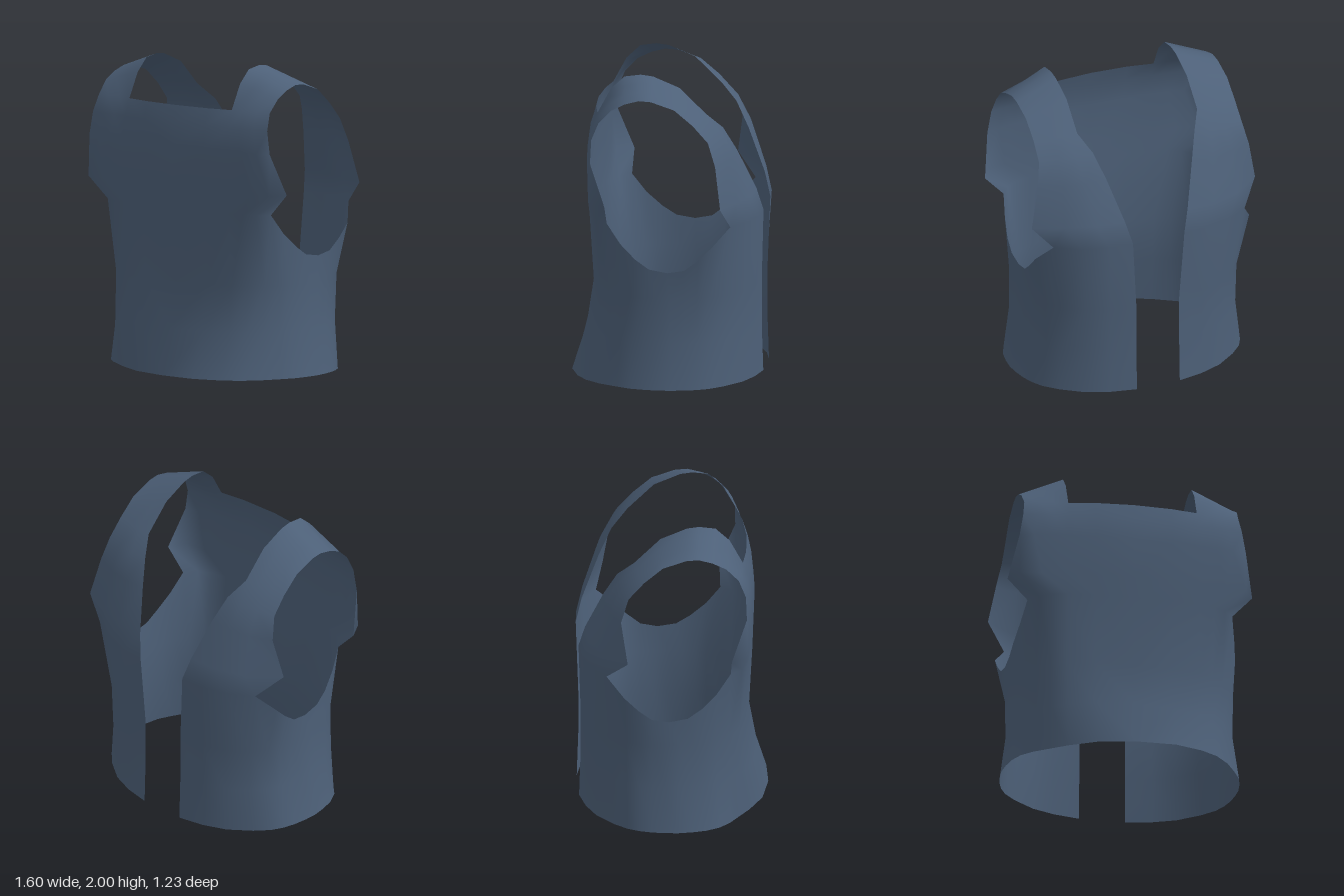
import * as THREE from 'three';

// Cross-sections of the left half, from front centre round the side to the back opening: [x, z] per height
const bodyLevels = [
  [0, [[0, .615], [.25, .59], [.43, .515], [.54, .445], [.63, .365], [.7, .27],
    [.745, .18], [.765, .09], [.775, 0], [.77, -.08], [.755, -.17], [.73, -.25], [.69, -.325],
    [.61, -.41], [.47, -.515], [.32, -.575], [.15, -.61]]],
  [.3, [[0, .54], [.25, .52], [.43, .465], [.53, .41], [.61, .335], [.67, .25],
    [.7, .18], [.72, .09], [.735, 0], [.73, -.08], [.715, -.17], [.695, -.25], [.66, -.33],
    [.59, -.42], [.46, -.515], [.32, -.57], [.15, -.6]]],
  [.6, [[0, .485], [.25, .475], [.43, .445], [.53, .4], [.61, .33], [.67, .25],
    [.7, .18], [.72, .1], [.73, .01], [.73, -.07], [.72, -.17], [.7, -.25], [.67, -.33],
    [.6, -.425], [.47, -.52], [.32, -.575], [.15, -.6]]],
];
// Last body row follows the underside of the armhole: [x, y, z]
const armholeRow = [
  [0, 1.07, .505], [.25, 1.07, .5], [.43, 1.07, .48], [.53, 1.07, .455], [.61, 1.07, .415], [.67, 1.07, .34],
  [.7, .945, .25], [.725, .85, .15], [.735, .79, .06], [.74, .77, -.06], [.745, .79, -.17], [.75, .86, -.26], [.75, .95, -.35],
  [.67, 1.07, -.46], [.51, 1.07, -.56], [.34, 1.07, -.605], [.18, 1.07, -.615],
];
// Chest panel above the armhole notch
const chestRows = [
  armholeRow.slice(0, 6),
  [[0, .51], [.25, .505], [.44, .485], [.6, .47], [.74, .45], [.8, .34]].map(([x, z]) => [x, 1.21, z]),
  [[0, .52], [.25, .515], [.43, .495], [.54, .485], [.65, .465], [.74, .44]].map(([x, z]) => [x, 1.48, z]),
  [[0, .505], [.25, .495], [.425, .47], [.52, .465], [.62, .455], [.715, .435]].map(([x, z]) => [x, 1.63, z]),
  [[0, .475], [.25, .46], [.42, .43], [.51, .42], [.61, .41], [.7, .39]].map(([x, z]) => [x, 1.74, z]),
];
// Strap edges over the shoulder: inner point, outer point, backward bulge between them
const strapEdges = [
  [[.42, 1.9, .345], [.705, 1.825, .31], 0],
  [[.42, 1.985, .255], [.705, 1.87, .22], 0],
  [[.42, 2, .15], [.705, 1.895, .13], 0],
  [[.42, 1.99, .07], [.705, 1.89, .05], 0],
  [[.42, 1.92, -.1], [.705, 1.84, -.1], 0],
  [[.42, 1.755, -.27], [.705, 1.74, -.22], .01],
  [[.355, 1.65, -.375], [.71, 1.63, -.32], .02],
  [[.3, 1.49, -.46], [.74, 1.48, -.37], .04],
  [[.22, 1.22, -.575], [.8, 1.21, -.37], .06],
];

function strapRow([inner, outer, bulge]) {
  return [0, 1 / 3, 2 / 3, 1].map(t => inner.map((v, i) =>
    THREE.MathUtils.lerp(v, outer[i], t) - (i === 2 ? bulge * 4 * t * (1 - t) : 0)));
}

export function createModel() {
  const group = new THREE.Group();
  group.name = 'vest';
  const cloth = new THREE.MeshStandardMaterial({ color: 0x4d6078, side: THREE.DoubleSide });
  cloth.name = 'slate blue cloth';

  // Shared vertices keep the shading smooth across the panels
  const positions = [], lookup = new Map();
  const vertex = ([x, y, z], side) => {
    // The front hem flares more on the left, and the rear armhole tip sits further back there
    if (y === 0) z += .1 * x * side * THREE.MathUtils.smoothstep(z, .25, .5);
    if (y === 1.21 && z < 0) z -= .04 * side;
    const p = [x * side, y, z];
    const key = p.map(v => Math.round(v * 1e4)).join();
    if (!lookup.has(key)) {
      lookup.set(key, positions.length / 3);
      positions.push(...p);
    }
    return lookup.get(key);
  };
  const panel = (rows, side) => {
    const ids = rows.map(row => row.map(p => vertex(p, side)));
    const index = [];
    for (let r = 0; r < ids.length - 1; r++) {
      for (let c = 0; c < ids[r].length - 1; c++) {
        const a = ids[r][c], b = ids[r][c + 1], d = ids[r + 1][c], e = ids[r + 1][c + 1];
        if (side > 0) index.push(a, b, e, a, e, d);
        else index.push(a, e, b, a, d, e);
      }
    }
    return index;
  };

  const bodyRows = [...bodyLevels.map(([y, pts]) => pts.map(([x, z]) => [x, y, z])), armholeRow];
  const strapRows = [chestRows.at(-1).slice(2), ...strapEdges.map(strapRow), armholeRow.slice(13).reverse()];

  // Each panel is mirrored to the other side
  const parts = [];
  for (const [side, label] of [[1, 'left'], [-1, 'right']]) {
    parts.push([label + 'Body', panel(bodyRows, side)]);
    parts.push([label + 'Chest', panel(chestRows, side)]);
    parts.push([label + 'ShoulderStrap', panel(strapRows, side)]);
  }

  const shell = new THREE.BufferGeometry();
  shell.setAttribute('position', new THREE.Float32BufferAttribute(positions, 3));
  shell.setIndex(parts.flatMap(([, index]) => index));
  shell.computeVertexNormals();

  for (const [name, index] of parts) {
    const geometry = new THREE.BufferGeometry();
    geometry.setAttribute('position', shell.getAttribute('position').clone());
    geometry.setAttribute('normal', shell.getAttribute('normal').clone());
    geometry.setIndex(index);
    const mesh = new THREE.Mesh(geometry, cloth);
    mesh.name = name;
    group.add(mesh);
  }
  return group;
}
